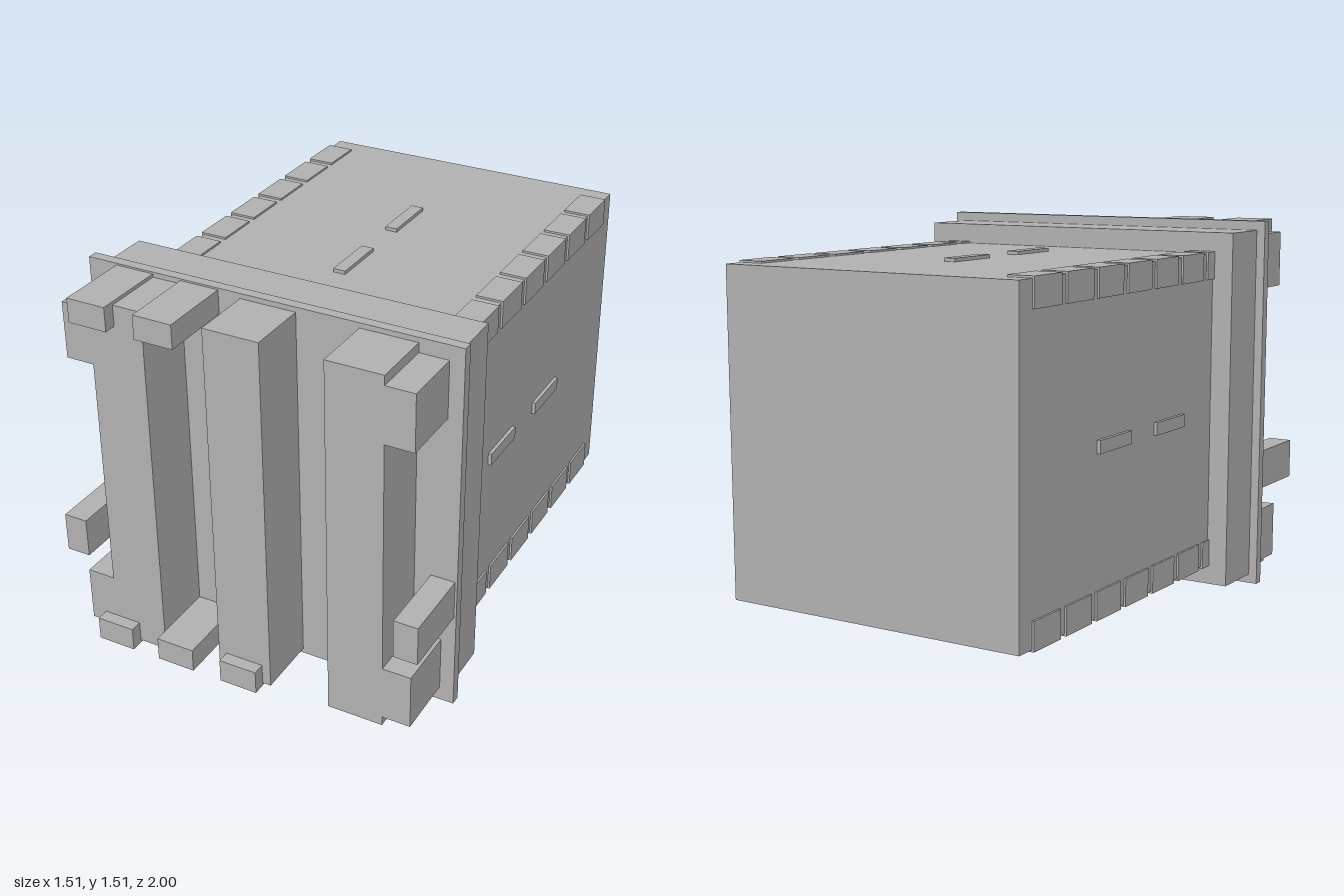
import * as THREE from 'three';

export function createModel() {
  const model = new THREE.Group();
  model.name = 'module';
  const grey = new THREE.MeshStandardMaterial({ color: 0xb2b2b2 });
  grey.name = 'plain grey';

  // Box given by its limits along each axis
  function box(name, [x0, x1], [y0, y1], [z0, z1], parent = model) {
    const mesh = new THREE.Mesh(new THREE.BoxGeometry(x1 - x0, y1 - y0, z1 - z0), grey);
    mesh.position.set((x0 + x1) / 2, (y0 + y1) / 2, (z0 + z1) / 2);
    mesh.name = name;
    parent.add(mesh);
  }
  function group(name) {
    const g = new THREE.Group();
    g.name = name;
    model.add(g);
    return g;
  }
  const midY = 0.755;

  // Housing, collar and flange
  box('housing', [-0.635, 0.635], [0.12, 1.39], [-1, 0.435]);
  box('collar', [-0.72, 0.72], [0.037, 1.473], [0.435, 0.66]);
  box('flange', [-0.755, 0.755], [0, 1.51], [0.66, 0.7]);

  // Tabs wrapped over the four long edges; the last ones run into the collar
  const tabs = group('edgeTabs');
  for (const sx of [-1, 1]) {
    for (const [y0, y1] of [[0.112, 0.222], [1.288, 1.398]]) {
      for (let i = 0; i < 7; i++) {
        const z = -0.918 + i * 0.2157;
        box('edgeTab', sx > 0 ? [0.535, 0.643] : [-0.643, -0.535], [y0, y1],
          [z, Math.min(z + 0.179, 0.435)], tabs);
      }
    }
  }

  // Two raised bars on each long face
  const bars = group('raisedBars');
  for (const z of [[-0.482, -0.248], [-0.048, 0.18]]) {
    box('topBar', [-0.025, 0.025], [1.385, 1.404], z, bars);
    box('bottomBar', [-0.025, 0.025], [0.106, 0.125], z, bars);
    box('leftBar', [0.63, 0.649], [midY - 0.025, midY + 0.025], z, bars);
    box('rightBar', [-0.649, -0.63], [midY - 0.025, midY + 0.025], z, bars);
  }

  // Front column and the two C-shaped brackets, mirrored
  box('centreColumn', [-0.112, 0.112], [0.02, 1.49], [0.7, 0.95]);
  const half = [[0.36, 0.02], [0.584, 0.02], [0.584, 0.058], [0.698, 0.058], [0.698, 0.283], [0.584, 0.283]];
  const outline = [...half, ...half.map(([x, y]) => [x, 2 * midY - y]).reverse()];
  for (const side of [1, -1]) {
    const points = outline.map(([x, y]) => new THREE.Vector2(side * x, y));
    const geometry = new THREE.ExtrudeGeometry(new THREE.Shape(points), { depth: 0.25, bevelEnabled: false });
    const bracket = new THREE.Mesh(geometry, grey);
    bracket.position.z = 0.7;
    bracket.name = side > 0 ? 'leftBracket' : 'rightBracket';
    model.add(bracket);
  }

  // Pins standing out in front of the flange
  const pins = group('pins');
  const top = [1.407, 1.503], bottom = [0.008, 0.104], depth = [0.7, 1];
  for (const x of [[-0.635, -0.477], [-0.36, -0.202]]) {
    box('topPin', x, top, depth, pins);
    box('bottomPin', x, bottom, depth, pins);
  }
  box('bottomPin', [-0.08, 0.077], bottom, depth, pins);
  box('leftPin', [0.65, 0.746], [0.4, 0.558], depth, pins);
  box('rightPin', [-0.746, -0.65], [0.4, 0.558], depth, pins);

  return model;
}
